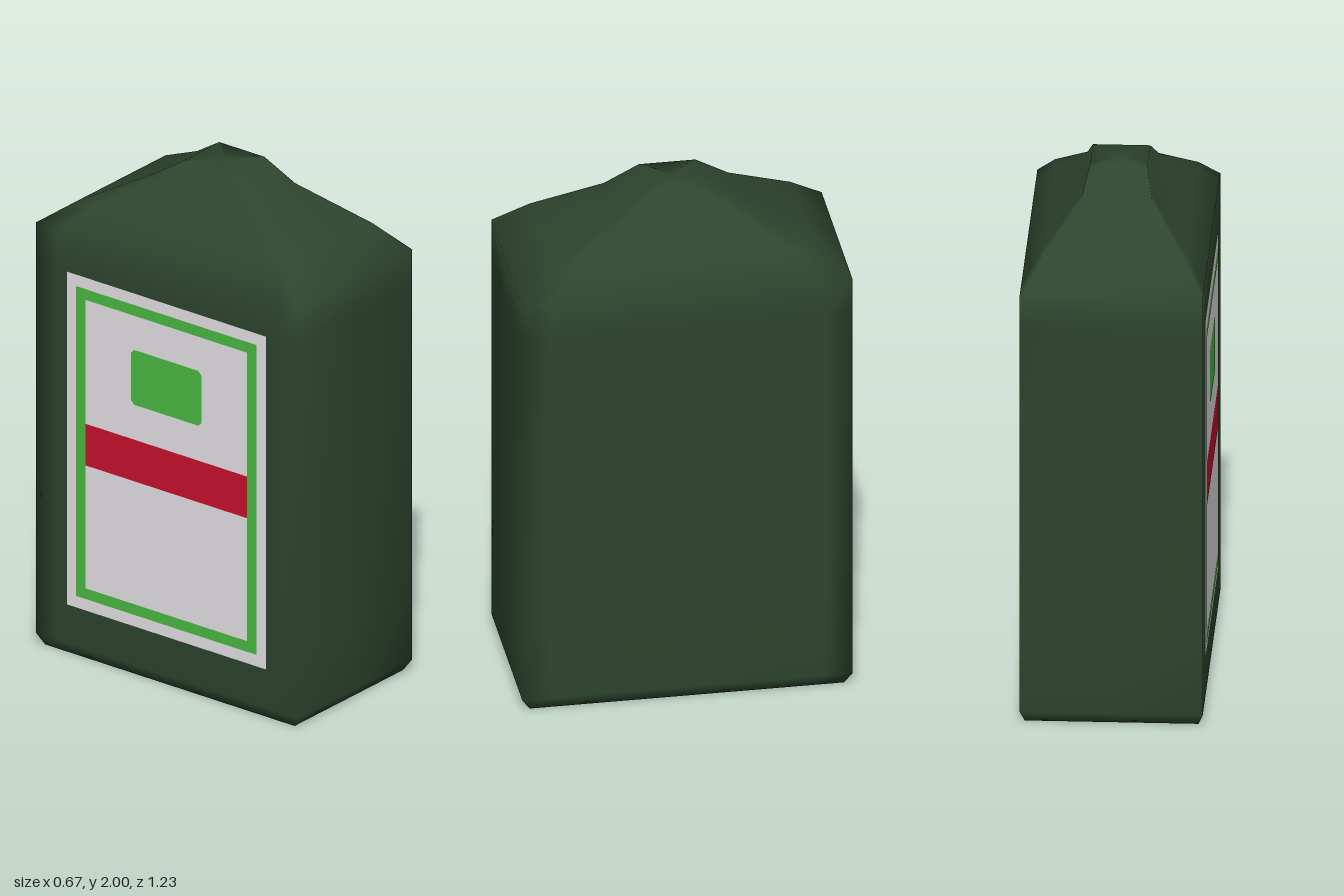
import * as THREE from 'three';

const bodyGreen = new THREE.MeshStandardMaterial({ name: 'dark green', color: 0x2d452e });
const labelWhite = new THREE.MeshStandardMaterial({ name: 'label white', color: 0xe8e4e8 });
const labelGreen = new THREE.MeshStandardMaterial({ name: 'bright green', color: 0x4bbb42 });
const labelRed = new THREE.MeshStandardMaterial({ name: 'red', color: 0xc8102e });

// One rectangular cross-section, walked right side, back, left side, front
function section(y, hx, hz) {
  const corners = [[1, 1], [1, -1], [-1, -1], [-1, 1]];
  const steps = [[0, 0.08, 0.5, 0.92], [0, 0.5]];
  const ring = [];
  corners.forEach(([x, z], i) => {
    const [nx, nz] = corners[(i + 1) % 4];
    for (const t of steps[i % 2]) {
      ring.push(hx * (x + (nx - x) * t), y, hz * (z + (nz - z) * t));
    }
  });
  return ring;
}

// Smooth closed skin through the stacked sections
function loft(sections) {
  const pos = [], index = [];
  sections.forEach((s) => pos.push(...section(...s)));
  const n = pos.length / 3 / sections.length;
  for (let r = 0; r < sections.length - 1; r++) {
    for (let i = 0; i < n; i++) {
      const a = r * n + i, b = r * n + (i + 1) % n;
      index.push(a, b, b + n, a, b + n, a + n);
    }
  }
  // End caps
  const bottom = pos.length / 3, top = bottom + 1, last = (sections.length - 1) * n;
  pos.push(0, sections[0][0], 0, 0, sections[sections.length - 1][0], 0);
  for (let i = 0; i < n; i++) {
    const j = (i + 1) % n;
    index.push(bottom, j, i, top, last + i, last + j);
  }
  const geo = new THREE.BufferGeometry();
  geo.setAttribute('position', new THREE.Float32BufferAttribute(pos, 3));
  geo.setIndex(index);
  geo.computeVertexNormals();
  return geo;
}

// Rectangle outline, with optional cut corners
function rect(w, y0, y1, cut = 0, Type = THREE.Shape) {
  const h = w / 2, c = cut;
  const pts = c
    ? [[-h + c, y0], [h - c, y0], [h, y0 + c], [h, y1 - c], [h - c, y1], [-h + c, y1], [-h, y1 - c], [-h, y0 + c]]
    : [[-h, y0], [h, y0], [h, y1], [-h, y1]];
  return new Type(pts.map(([x, y]) => new THREE.Vector2(x, y)));
}

export function createModel() {
  const model = new THREE.Group();
  model.name = 'canister';

  // Body, shoulders and spout in one skin: y, half width, half depth
  const body = new THREE.Mesh(loft([
    [0, 0.318, 0.583],
    [0.045, 0.335, 0.613],
    [0.3, 0.335, 0.613],
    [1.55, 0.335, 0.613],
    [1.69, 0.335, 0.613],
    [1.785, 0.263, 0.483],
    [1.92, 0.13, 0.23],
    [2, 0.105, 0.105],
  ]), bodyGreen);
  body.name = 'body';
  model.add(body);

  // Flat label on the -x side
  const label = new THREE.Group();
  label.name = 'label';
  label.rotation.y = -Math.PI / 2;
  label.position.x = -0.335;
  model.add(label);

  const addPlate = (name, shape, material, lift) => {
    const mesh = new THREE.Mesh(new THREE.ShapeGeometry(shape), material);
    mesh.name = name;
    mesh.position.z = lift;
    label.add(mesh);
  };
  const frame = rect(0.845, 0.247, 1.49);
  frame.holes.push(rect(0.755, 0.29, 1.447, 0, THREE.Path));
  addPlate('labelPanel', rect(0.93, 0.2, 1.535), labelWhite, 0.002);
  addPlate('labelFrame', frame, labelGreen, 0.004);
  addPlate('labelBand', rect(0.755, 0.783, 0.95), labelRed, 0.004);
  addPlate('labelSquare', rect(0.33, 1.09, 1.31, 0.015), labelGreen, 0.004);

  return model;
}
